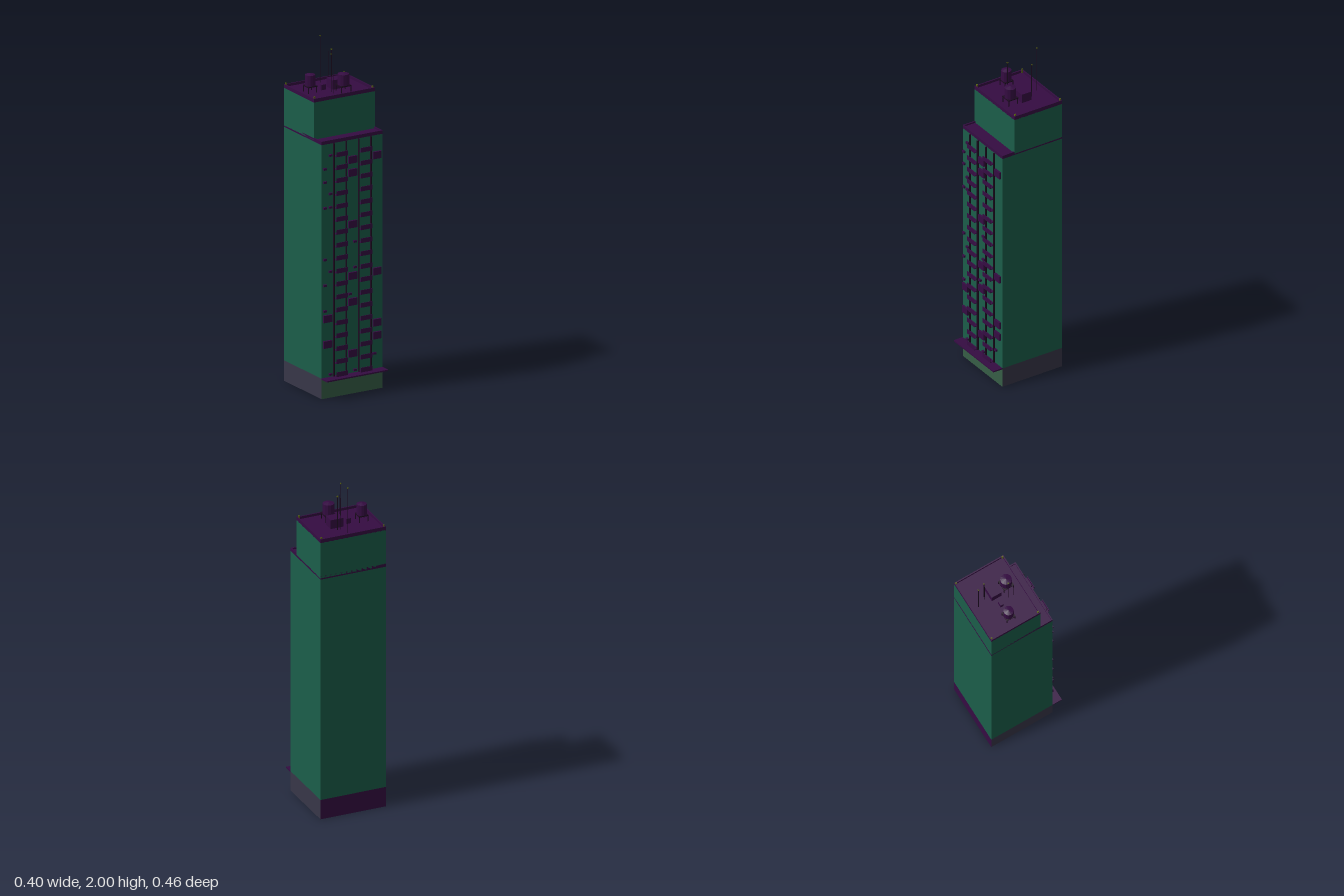
import * as THREE from 'three';

const mat = (color, side = THREE.FrontSide) =>
  new THREE.MeshStandardMaterial({ color, flatShading: true, side });

export function createModel() {
  const model = new THREE.Group();
  const green = mat(0x1b5e4a), purple = mat(0x350c42), dark = mat(0x1c0a20), olive = mat(0x5a6414);
  const sideGrey = mat(0x383648, THREE.DoubleSide);
  const frontGreen = mat(0x365e46, THREE.DoubleSide);
  const backPurple = mat(0x350c42, THREE.DoubleSide);

  const add = (name, geo, material, x, y, z, parent = model) => {
    const mesh = new THREE.Mesh(geo, material);
    mesh.name = name;
    mesh.position.set(x, y, z);
    parent.add(mesh);
    return mesh;
  };
  // Box given by its limits on each axis
  const box = (name, material, [x0, x1], [y0, y1], [z0, z1], parent = model) =>
    add(name, new THREE.BoxGeometry(x1 - x0, y1 - y0, z1 - z0), material,
      (x0 + x1) / 2, (y0 + y1) / 2, (z0 + z1) / 2, parent);
  const group = (name) => {
    const g = new THREE.Group();
    g.name = name;
    model.add(g);
    return g;
  };

  const W = 0.2, BACK = -0.23, FRONT = 0.17, UPPER = 0.09;
  const depth = FRONT - BACK, midZ = (FRONT + BACK) / 2;

  // Ground floor: four open-bottomed walls
  const ground = group('groundFloor');
  add('groundFront', new THREE.PlaneGeometry(2 * W, 0.12), frontGreen, 0, 0.06, FRONT, ground);
  add('groundBack', new THREE.PlaneGeometry(2 * W, 0.12), backPurple, 0, 0.06, BACK, ground).rotation.y = Math.PI;
  for (const s of [-1, 1])
    add('groundSide', new THREE.PlaneGeometry(depth, 0.12), sideGrey, s * W, 0.06, midZ, ground).rotation.y = s * Math.PI / 2;
  box('canopy', purple, [-W, W], [0.114, 0.122], [FRONT, 0.23]);

  // Main shaft and set-back upper block
  box('tower', green, [-W, W], [0.12, 1.487], [BACK, FRONT]);
  box('upperBlock', green, [-W, W], [1.495, 1.715], [BACK, UPPER]);

  // Flat roofs with a raised rim
  const roof = (name, y0, y1, y2, zFront) => {
    const g = group(name), t = 0.007;
    box('roofSlab', purple, [-W, W], [y0, y1], [BACK, zFront], g);
    box('frontRim', purple, [-W, W], [y1, y2], [zFront - t, zFront], g);
    box('backRim', purple, [-W, W], [y1, y2], [BACK, BACK + t], g);
    for (const s of [-1, 1])
      box('sideRim', purple, s < 0 ? [-W, t - W] : [W - t, W], [y1, y2], [BACK + t, zFront - t], g);
  };
  roof('lowerRoof', 1.487, 1.498, 1.507, FRONT);
  roof('upperRoof', 1.713, 1.721, 1.736, UPPER);

  // Facade fins and balcony stacks
  const facade = group('facade');
  for (const x of [-0.121, -0.041, 0.041, 0.121])
    box('fin', dark, [x - 0.003, x + 0.003], [0.12, 1.487], [FRONT, 0.18], facade);
  for (const x of [-0.0805, 0.0795]) {
    for (let i = 0; i < 18; i++) {
      const y = 0.123 + i * 0.0757, w = 0.0375;
      box('balconyFloor', purple, [x - w, x + w], [y, y + 0.004], [FRONT, 0.197], facade);
      box('balconyFront', purple, [x - w, x + w], [y + 0.004, y + 0.027], [0.194, 0.197], facade);
    }
  }

  // Window boxes: rows counted in floors from the bottom
  const windows = [
    [0, [0.238, 0.54, 0.692, 0.994, 1.296, 1.372]],
    [0.16, [0.317, 0.392, 0.692, 1.372]],
    [-0.164, [0.317, 0.467]],
  ];
  for (const [x, rows] of windows)
    for (const y of rows)
      box('windowBox', purple, [x - 0.027, x + 0.027], [y - 0.021, y + 0.021], [FRONT, 0.182], facade);

  // Small cooling units
  const units = [
    [-0.181, [0.513, 0.663, 0.814, 1.116, 1.267, 1.345]],
    [-0.145, [0.138, 0.74, 1.116, 1.195, 1.42]],
    [0.016, [0.138, 0.74, 0.89]],
    [-0.018, [0.588]],
    [0.142, [0.213]],
  ];
  for (const [x, rows] of units)
    for (const y of rows)
      box('coolingUnit', purple, [x - 0.01, x + 0.01], [y - 0.006, y + 0.006], [FRONT, 0.182], facade);

  // Rooftop houses
  const top = 1.72;
  box('stairHouse', purple, [0.003, 0.08], [top, 1.775], [-0.104, -0.04]);
  box('ventBox', purple, [-0.055, -0.028], [top, 1.752], [-0.081, -0.063]);

  // Water tanks on four legs
  for (const [x, z, r] of [[-0.125, -0.072, 0.029], [0.041, 0.012, 0.033]]) {
    const tank = group('waterTank');
    add('tankBody', new THREE.CylinderGeometry(r, r, 0.064, 12), purple, x, 1.791, z, tank);
    add('tankLid', new THREE.ConeGeometry(r, 0.008, 12), purple, x, 1.827, z, tank);
    box('tankBase', dark, [x - r, x + r], [1.754, 1.76], [z - r, z + r], tank);
    for (const sx of [-1, 1])
      for (const sz of [-1, 1])
        add('tankLeg', new THREE.BoxGeometry(0.004, 0.036, 0.004), dark,
          x + sx * (r - 0.003), 1.738, z + sz * (r - 0.003), tank);
  }

  // Antennas, the main ones with a small tip light
  const masts = [
    [0.012, -0.185, 2.0, true], [0.049, -0.127, 1.93, true], [-0.024, -0.012, 1.945, true],
    [0.034, -0.132, 1.918, false], [-0.028, 0.018, 1.86, false],
  ];
  for (const [x, z, h, lit] of masts) {
    const r = lit ? 0.0022 : 0.0012;
    add('antenna', new THREE.CylinderGeometry(r, r, h - top, 6), dark, x, (h + top) / 2, z);
    if (lit) add('antennaLight', new THREE.BoxGeometry(0.007, 0.006, 0.007), olive, x, h - 0.003, z);
  }

  // Corner lights on the upper rim
  for (const x of [-0.191, 0.191])
    for (const z of [-0.222, 0.08])
      box('cornerLight', olive, [x - 0.004, x + 0.004], [top, 1.746], [z - 0.004, z + 0.004]);

  return model;
}
